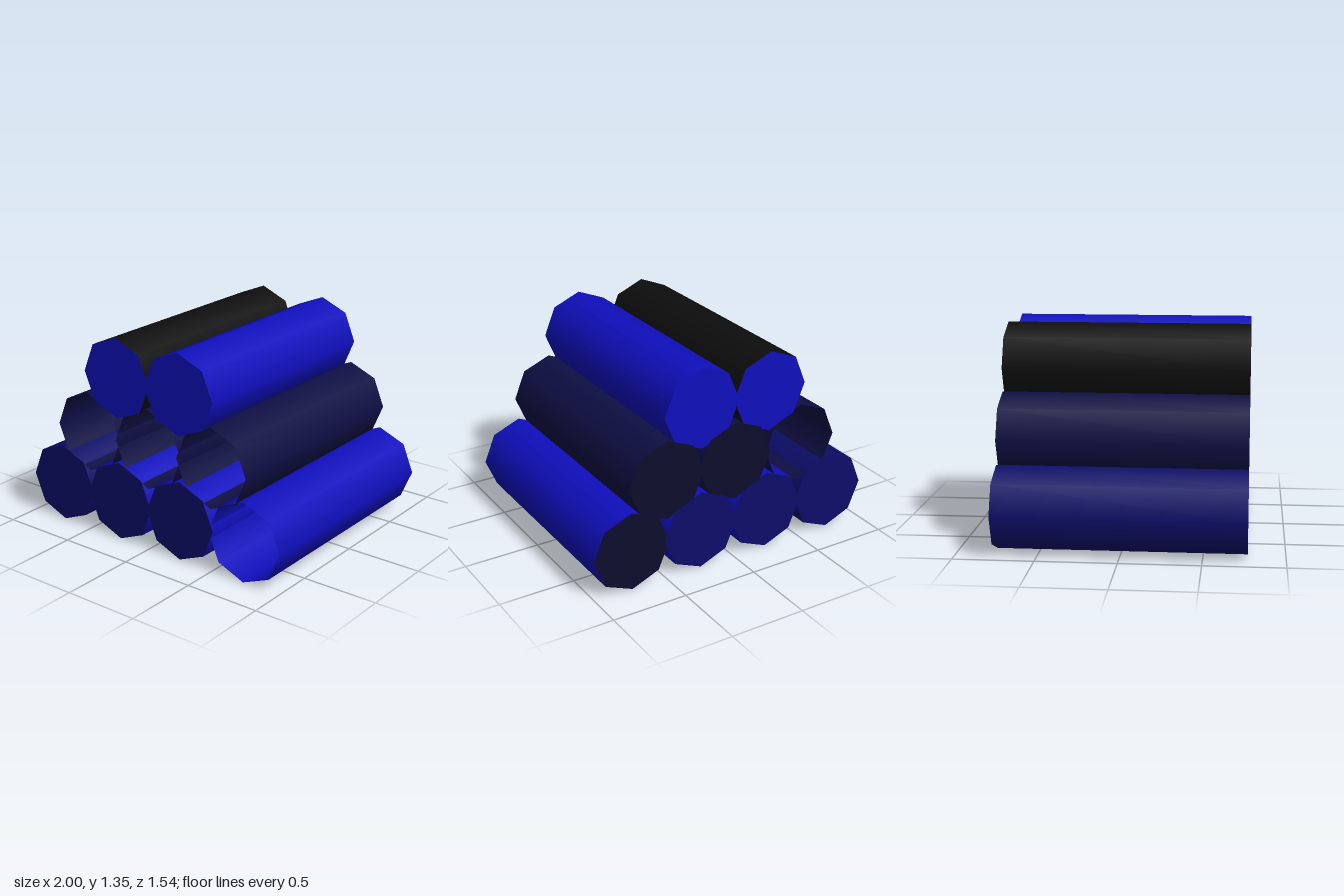
import * as THREE from 'three';

const R = 0.263, LENGTH = 1.54;

function mat(name, color) {
  const m = new THREE.MeshStandardMaterial({ color, side: THREE.DoubleSide });
  m.name = name;
  return m;
}

export function createModel() {
  const blue = mat('bright blue', 0x0f0fbe);
  const navy = mat('navy', 0x0d0d6a);
  const darkNavy = mat('dark navy', 0x0e0e44);
  const midnight = mat('midnight', 0x0d0d2c);
  const black = mat('black', 0x0d0d0d);

  // Eight-sided smooth wall along z with a corner at the top, and its end disc
  const wallGeo = new THREE.CylinderGeometry(R, R, LENGTH, 8, 1, true).rotateX(Math.PI / 2);
  const capGeo = new THREE.CircleGeometry(R, 8);

  // x, y, wall colour, cap colour, closed at the front, closed at the back
  const pipes = [
    ['bottomPipe1', -0.737, 0.263, navy, navy, true, true],
    ['bottomPipe2', -0.245, 0.263, blue, navy, true, true],
    ['bottomPipe3', 0.245, 0.263, blue, navy, true, true],
    ['bottomPipe4', 0.737, 0.263, blue, midnight, false, true],
    ['middlePipe1', -0.49, 0.677, darkNavy, midnight, false, false],
    ['middlePipe2', 0, 0.677, darkNavy, midnight, false, true],
    ['middlePipe3', 0.49, 0.677, darkNavy, midnight, false, true],
    ['topPipe1', -0.245, 1.088, black, blue, true, true],
    ['topPipe2', 0.245, 1.088, blue, blue, true, true],
  ];

  const model = new THREE.Group();
  model.name = 'pipeStack';
  for (const [name, x, y, wallMat, capMat, front, back] of pipes) {
    const pipe = new THREE.Group();
    pipe.name = name;
    pipe.position.set(x, y, 0);

    const wall = new THREE.Mesh(wallGeo, wallMat);
    wall.name = 'pipeWall';
    pipe.add(wall);

    if (front) {
      const cap = new THREE.Mesh(capGeo, capMat);
      cap.name = 'frontCap';
      cap.position.z = LENGTH / 2;
      pipe.add(cap);
    }
    if (back) {
      const cap = new THREE.Mesh(capGeo, capMat);
      cap.name = 'backCap';
      cap.position.z = -LENGTH / 2;
      cap.rotation.y = Math.PI;
      pipe.add(cap);
    }
    model.add(pipe);
  }
  return model;
}
